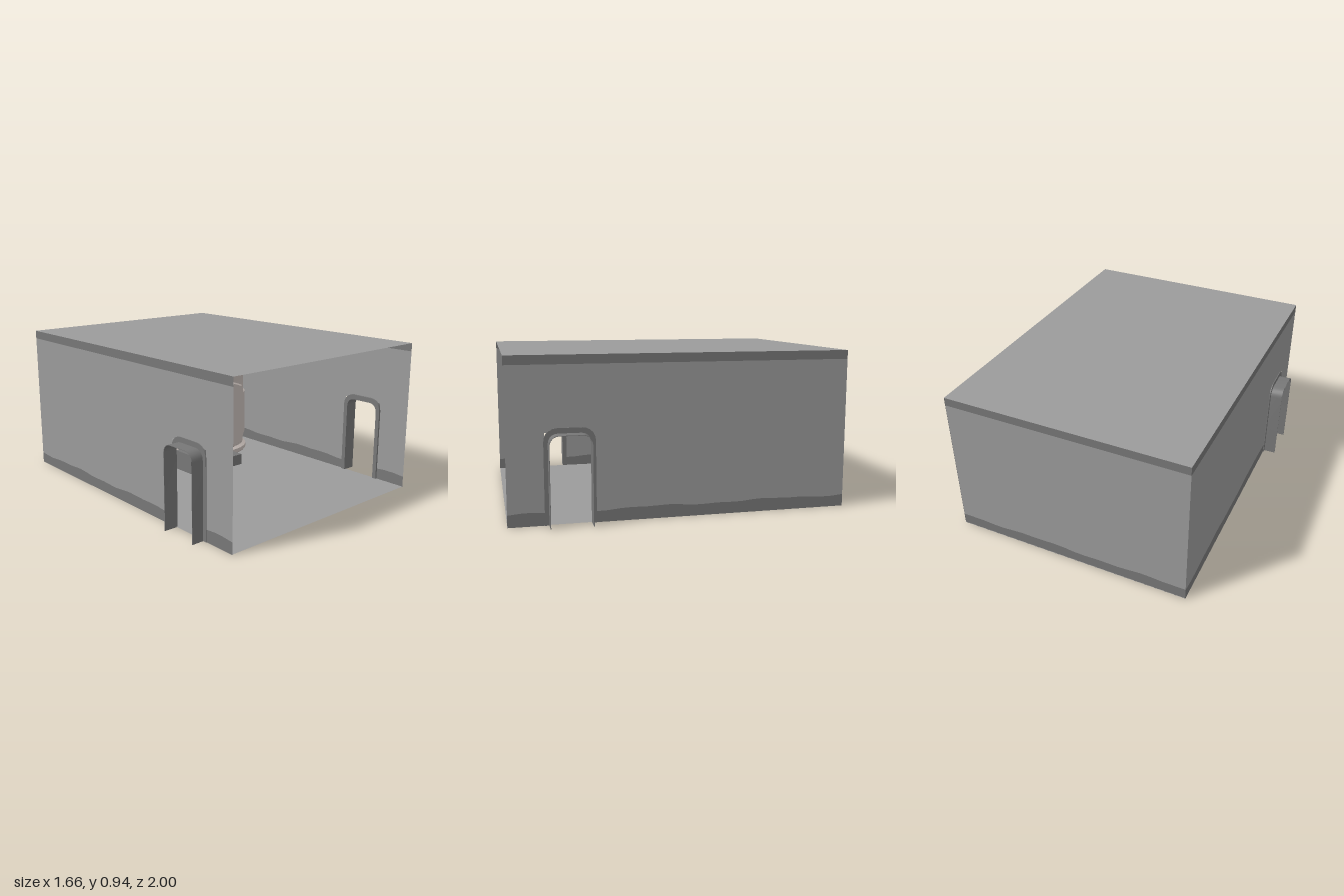
import * as THREE from 'three';
import { toCreasedNormals } from 'three/addons/utils/BufferGeometryUtils.js';

const material = (name, color, side = THREE.FrontSide) => {
  const m = new THREE.MeshStandardMaterial({ color, side });
  m.name = name;
  return m;
};

export function createModel() {
  const wallGrey = material('wall grey', 0x9b9b9b, THREE.DoubleSide);
  const trimGrey = material('trim grey', 0x777777, THREE.DoubleSide);
  const frameGrey = material('shutter grey', 0x868686);
  const tankBeige = material('tank beige', 0xc8beb9);

  const model = new THREE.Group();
  const add = (parent, name, geometry, mat, x = 0, y = 0, z = 0) => {
    const mesh = new THREE.Mesh(geometry, mat);
    mesh.name = name;
    mesh.position.set(x, y, z);
    parent.add(mesh);
    return mesh;
  };
  const box = (parent, name, mat, x0, x1, y0, y1, z0, z1) =>
    add(parent, name, new THREE.BoxGeometry(x1 - x0, y1 - y0, z1 - z0), mat,
      (x0 + x1) / 2, (y0 + y1) / 2, (z0 + z1) / 2);
  const polygon = pts => new THREE.Shape(pts.map(p => new THREE.Vector2(p[0], p[1])));
  const crease = (g, a = 0.5) => toCreasedNormals(g, a);

  const H = 0.945, BAND = 0.893, W = 0.75, DOOR = [0.51, 0.79, 0.52];

  // Walls: wavy dark skirting, plain middle, dark strip at the top
  const wave = u => 0.071 + 0.005 * Math.sin(u * 9) + 0.003 * Math.sin(u * 23);
  const line = (u0, u1, f) => {
    const n = Math.max(2, Math.round((u1 - u0) * 14));
    return Array.from({ length: n + 1 }, (_, i) => {
      const u = u0 + (u1 - u0) * i / n;
      return [u, f(u)];
    });
  };
  const strip = (u0, u1, low, high) => new THREE.ShapeGeometry(
    polygon([...line(u0, u1, low), ...line(u0, u1, high).reverse()]));
  const makeWall = (name, half, gap) => {
    const g = new THREE.Group();
    g.name = name;
    const runs = gap ? [[-half, gap[0]], [gap[1], half]] : [[-half, half]];
    for (const [a, b] of runs) {
      add(g, 'skirting', strip(a, b, () => 0, wave), trimGrey);
      add(g, 'wallPanel', strip(a, b, wave, () => BAND), wallGrey);
    }
    if (gap) add(g, 'wallOverDoor', strip(gap[0], gap[1], () => gap[2], () => BAND), wallGrey);
    add(g, 'topStrip', strip(-half, half, () => BAND, () => H), trimGrey);
    model.add(g);
    return g;
  };
  makeWall('backWall', W).position.z = -0.998;
  for (const s of [-1, 1]) {
    const wall = makeWall(s > 0 ? 'leftWall' : 'rightWall', 1, DOOR);
    wall.rotation.y = -Math.PI / 2;
    wall.position.x = s * W;
  }

  // Floor and roof
  for (const [name, y] of [['floor', 0.003], ['roof', H]]) {
    const g = new THREE.PlaneGeometry(2 * W, 2).rotateX(-Math.PI / 2);
    add(model, name, g, wallGrey, 0, y, 0);
  }

  // Doorways: open tunnel outside and arched trim inside
  const arch = (hw, h, r) => {
    const pts = [[hw, 0]];
    for (const s of [1, -1]) {
      for (let i = 0; i <= 5; i++) {
        const a = (s > 0 ? i : 5 - i) / 5 * Math.PI / 2;
        pts.push([s * (hw - r + r * Math.cos(a)), h - r + r * Math.sin(a)]);
      }
    }
    pts.push([-hw, 0]);
    return pts;
  };
  const archBand = (outer, inner, depth) => new THREE.ExtrudeGeometry(
    polygon([...outer, ...inner.slice().reverse()]), { depth, bevelEnabled: false });
  for (const s of [-1, 1]) {
    const door = new THREE.Group();
    door.name = s > 0 ? 'leftDoorway' : 'rightDoorway';
    const tunnel = archBand(arch(0.121, 0.515, 0.055), arch(0.118, 0.512, 0.052), 0.09);
    add(door, 'doorTunnel', crease(tunnel), trimGrey);
    const trim = archBand(arch(0.145, 0.545, 0.075), arch(0.118, 0.512, 0.052), 0.015);
    add(door, 'doorTrim', crease(trim), trimGrey, 0, 0, s > 0 ? 0 : 0.075);
    door.rotation.y = Math.PI / 2;
    door.position.set(s > 0 ? 0.738 : -0.83, 0, 0.65);
    model.add(door);
  }

  // Thin panel on the right-hand wall
  box(model, 'wallPlate', wallGrey, -0.749, -0.742, 0.42, 0.7, -0.15, 0.2);

  // Shuttered window on the back wall
  const rounded = (hw, hh, r) => {
    const pts = [];
    [[1, 1], [-1, 1], [-1, -1], [1, -1]].forEach(([sx, sy], k) => {
      for (let i = 0; i <= 4; i++) {
        const a = (k + i / 4) * Math.PI / 2;
        pts.push([sx * (hw - r) + r * Math.cos(a), sy * (hh - r) + r * Math.sin(a)]);
      }
    });
    return pts;
  };
  const win = new THREE.Group();
  win.name = 'shutterWindow';
  const ring = polygon(rounded(0.39, 0.235, 0.12));
  ring.holes.push(polygon(rounded(0.365, 0.21, 0.1)));
  const frame = new THREE.ExtrudeGeometry(ring,
    { depth: 0.03, bevelThickness: 0.01, bevelSize: 0.01, bevelSegments: 2 });
  add(win, 'windowFrame', crease(frame, 0.7), frameGrey, 0, 0, 0.01);
  add(win, 'shutterBack', new THREE.ShapeGeometry(polygon(rounded(0.37, 0.215, 0.1))),
    trimGrey, 0, 0, 0.008);
  for (let i = 0; i < 7; i++) {
    const y = -0.18 + i * 0.06;
    const w = Math.abs(y) > 0.15 ? 0.58 : 0.71;
    add(win, 'shutterSlat', new THREE.BoxGeometry(w, 0.055, 0.008), trimGrey, 0, y, 0.02)
      .rotation.x = 0.2;
  }
  win.position.set(-0.035, 0.515, -0.997);
  model.add(win);

  // Storage tanks
  const bandAt = y => [[0.256, y - 0.018], [0.268, y - 0.01], [0.268, y + 0.01], [0.256, y + 0.018]];
  const profile = [[0, 0.006], [0.272, 0.006], [0.278, 0.015], [0.278, 0.04], [0.256, 0.055],
    ...bandAt(0.22), ...bandAt(0.435), [0.256, 0.57], [0.266, 0.595], [0.266, 0.638],
    [0.252, 0.645], [0.205, 0.685], [0.14, 0.712], [0.07, 0.723], [0, 0.725]];
  const makeTank = x => {
    const tank = new THREE.Group();
    tank.name = 'storageTank';
    const body = new THREE.LatheGeometry(profile.map(p => new THREE.Vector2(...p)), 40);
    add(tank, 'tankBody', crease(body), tankBeige);
    // raised hatch on the front
    const half = [[0, 0.235], [0.072, 0.208], [0.103, 0.13], [0.103, -0.13], [0.072, -0.208], [0, -0.235]];
    const mirrored = half.slice(1, 5).map(([a, b]) => [-a, b]).reverse();
    const hatch = new THREE.ExtrudeGeometry(polygon([...half, ...mirrored].reverse()),
      { depth: 0.06, bevelThickness: 0.012, bevelSize: 0.011, bevelSegments: 1 });
    add(tank, 'tankHatch', crease(hatch, 0.3), tankBeige, 0, 0.303, 0.21);
    // lid latch
    const latch = polygon([[-0.056, 0.665], [0, 0.643], [0.056, 0.665], [0.056, 0.715], [-0.056, 0.715]]);
    add(tank, 'lidLatch', new THREE.ExtrudeGeometry(latch, { depth: 0.17, bevelEnabled: false }),
      tankBeige, 0, 0, 0.1);
    // side pipes with sleeves
    for (const s of [-1, 1]) {
      const pipe = (name, r, y0, y1, px) => add(tank, name,
        new THREE.CylinderGeometry(r, r, y1 - y0, 20), tankBeige, s * px, (y0 + y1) / 2, 0);
      pipe('upperSleeve', 0.05, 0.51, 0.685, 0.257);
      pipe('lowerSleeve', 0.05, 0.01, 0.185, 0.257);
      pipe('sidePipe', 0.033, 0.18, 0.52, 0.257);
    }
    tank.position.set(x, 0, -0.49);
    model.add(tank);
  };
  makeTank(-0.356);
  makeTank(0.378);

  // Crates on the floor
  box(model, 'centreCrate', trimGrey, -0.13, 0.12, 0, 0.135, -0.25, -0.09);
  box(model, 'crateTop', trimGrey, -0.015, 0.05, 0.135, 0.19, -0.21, -0.14);
  box(model, 'smallCrate', trimGrey, -0.64, -0.52, 0.003, 0.06, -0.06, 0.06);
  box(model, 'smallCrate', trimGrey, 0.18, 0.275, 0.003, 0.077, -0.12, -0.02);

  return model;
}
